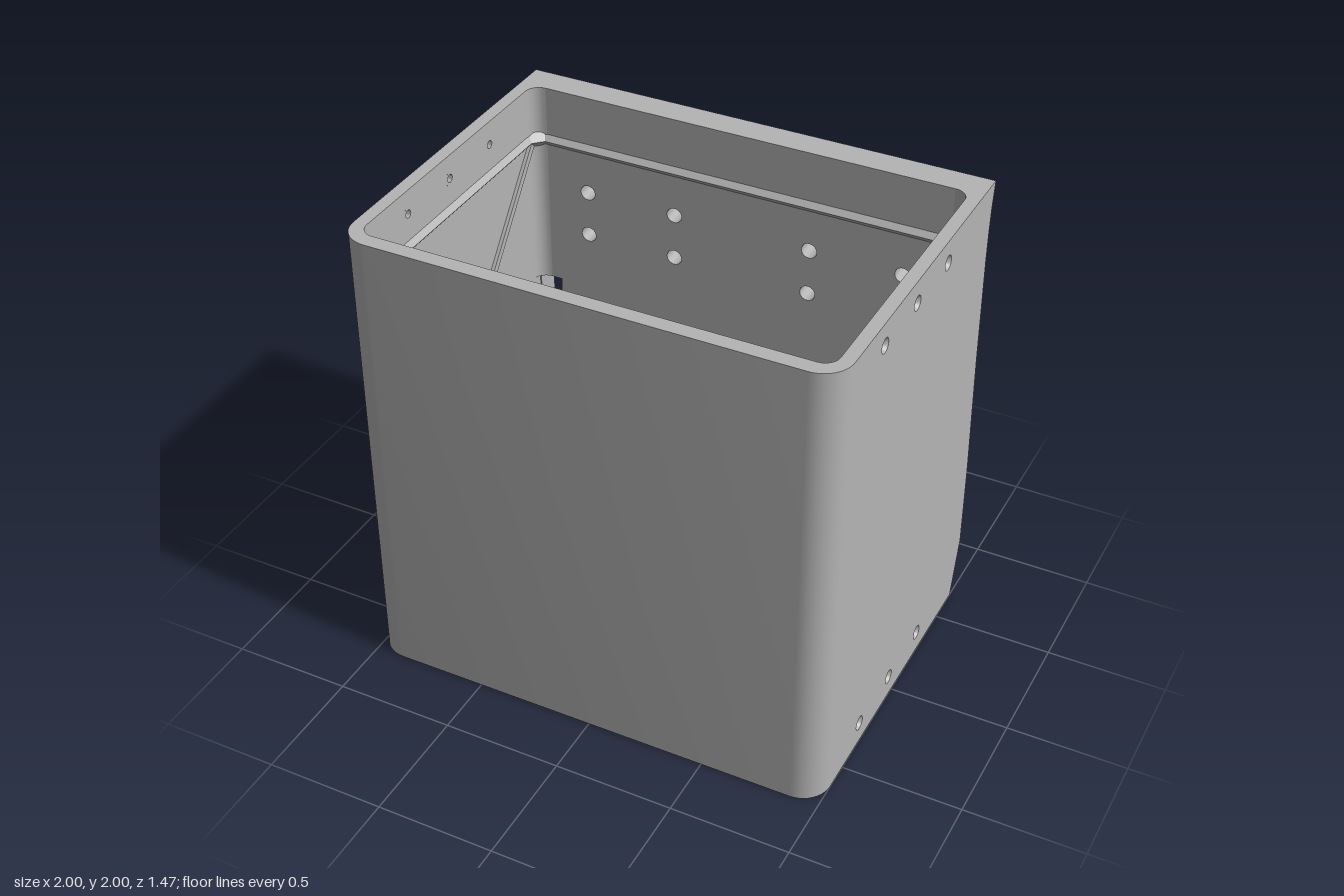
import * as THREE from 'three';
import { toCreasedNormals } from 'three/addons/utils/BufferGeometryUtils.js';

const body = new THREE.MeshStandardMaterial({ color: 0xb4b4b4, side: THREE.DoubleSide });
body.name = 'matte grey';

const IN_X = 0.945, IN_BACK = -0.61, IN_FRONT = 0.67;
// outer back surface as [y, z]
const PROFILE = [[0, -0.66], [0.25, -0.732], [0.62, -0.733], [1.2, -0.711], [1.66, -0.706],
  [1.8, -0.71], [1.88, -0.716], [1.94, -0.725], [2, -0.735]];

const toShape = pts => new THREE.Shape(pts.map(p => new THREE.Vector2(p[0], p[1])));
const extrude = (shape, depth) =>
  new THREE.ExtrudeGeometry(shape, { depth, bevelEnabled: false, curveSegments: 16 });

function circleHole(x, y, r) {
  const p = new THREE.Path();
  p.absarc(x, y, r, 0, Math.PI * 2, true);
  return p;
}

// Points of a circular arc, angles in quarter turns
function arc(cx, cy, r, a, b, n = 10) {
  return Array.from({ length: n + 1 }, (_, i) => {
    const t = (a + (b - a) * i / n) * Math.PI / 2;
    return [cx + r * Math.cos(t), cy + r * Math.sin(t)];
  });
}

// Upright prism from a plan outline in (x, z)
function upright(pts, y0, y1) {
  return extrude(toShape(pts), y1 - y0).rotateX(Math.PI / 2).translate(0, y1, 0);
}

// Triangular rib following the sides and back of the cavity
function ledgeRib(y) {
  const half = [ // [outer x, outer z, inner x, inner z]
    [0.9, 0.69, 0.875, 0.669], [0.955, 0.63, 0.925, 0.615],
    [0.955, -0.57, 0.925, -0.55], [0.9, -0.62, 0.885, -0.59]];
  const path = [...half, ...half.map(p => [-p[0], p[1], -p[2], p[3]]).reverse()];
  const pos = [];
  for (let i = 0; i < path.length - 1; i++) {
    const [a, b] = [path[i], path[i + 1]];
    for (const s of [1, -1]) {
      const A = [a[0], y + s * 0.035, a[1]], B = [b[0], y + s * 0.035, b[1]];
      const C = [b[2], y, b[3]], D = [a[2], y, a[3]];
      pos.push(...(s > 0 ? [A, B, C, A, C, D] : [A, C, B, A, D, C]).flat());
    }
  }
  const g = new THREE.BufferGeometry();
  g.setAttribute('position', new THREE.Float32BufferAttribute(pos, 3));
  g.computeVertexNormals();
  return g;
}

export function createModel() {
  const model = new THREE.Group();
  model.name = 'housing';
  const add = (name, geo, crease = 0.6) => {
    const mesh = new THREE.Mesh(toCreasedNormals(geo, crease), body);
    mesh.name = name;
    model.add(mesh);
    return mesh;
  };

  // Front wall with rounded outer corners
  add('frontWall', upright([
    ...arc(0.88, 0.615, 0.12, 0, 1), ...arc(-0.88, 0.615, 0.12, 1, 2),
    [-IN_X, 0.615], [-IN_X, IN_FRONT], [IN_X, IN_FRONT], [IN_X, 0.615]], 0, 2));

  // Side walls with countersunk screw holes
  const screws = [0.1, 1.9].flatMap(y => [0.34, 0.04, -0.26].map(z => [z, y]));
  for (const s of [1, -1]) {
    const side = toShape([[-0.615, 0], ...PROFILE.map(([y, z]) => [-z, y]), [-0.615, 2]]);
    screws.forEach(([z, y]) => side.holes.push(circleHole(-z, y, 0.031)));
    add('sideWall', extrude(side, 0.055).rotateY(Math.PI / 2).translate(s > 0 ? IN_X : -1, 0, 0), 0.2);
    for (const [z, y] of screws) {
      const sink = new THREE.LatheGeometry([[0.031, 0], [0.017, -0.022], [0.017, -0.055], [0.031, -0.055]]
        .map(p => new THREE.Vector2(...p)), 24);
      add('countersink', sink.rotateZ(-s * Math.PI / 2).translate(s, y, z));
    }
  }

  // Back wall in horizontal bands, pierced by mounting holes and slots
  const holes = [[0, 0.75, 0.1], [0.5, 0.85, 0.033], [-0.5, 0.85, 0.033]];
  for (const x of [-0.7, -0.3, 0.3, 0.7]) for (const y of [1.36, 1.56]) holes.push([x, y, 0.033]);
  for (let i = 0; i < PROFILE.length - 1; i++) {
    const [y0, z0] = PROFILE[i], [y1, z1] = PROFILE[i + 1];
    const band = toShape([[-IN_X, y0], [IN_X, y0], [IN_X, y1], [-IN_X, y1]]);
    holes.filter(h => h[1] > y0 && h[1] < y1).forEach(h => band.holes.push(circleHole(...h)));
    if (y0 < 1 && y1 > 1) {
      for (const s of [1, -1]) {
        band.holes.push(new THREE.Path([[0.84, 0.9], [0.84, 1.1], [0.94, 1.1], [0.94, 0.9]]
          .map(([x, y]) => new THREE.Vector2(s * x, y))));
      }
    }
    const g = extrude(band, 1), p = g.attributes.position;
    for (let k = 0; k < p.count; k++) {
      const outer = z0 + (z1 - z0) * (p.getY(k) - y0) / (y1 - y0);
      p.setZ(k, p.getZ(k) < 0.5 ? outer : IN_BACK);
    }
    add('backWall', g);
  }

  // Floor of the central counterbore
  const floor = new THREE.Shape().absarc(0, 0.75, 0.1, 0, Math.PI * 2, false);
  floor.holes.push(circleHole(0, 0.75, 0.033));
  add('counterboreFloor', extrude(floor, 0.05).translate(0, 0, IN_BACK - 0.05));

  // Rounded inner corners, interrupted at the back by the slots
  const r = 0.06;
  for (const s of [1, -1]) {
    const front = [[IN_X, IN_FRONT], ...arc(IN_X - r, IN_FRONT - r, r, 0, 1, 6)];
    const back = [[IN_X, IN_BACK], ...arc(IN_X - r, IN_BACK + r, r, 0, -1, 6)];
    const flip = pts => pts.map(([x, z]) => [s * x, z]);
    add('frontFillet', upright(flip(front), 0, 2));
    add('backFillet', upright(flip(back), 0, 0.9));
    add('backFillet', upright(flip(back), 1.1, 2));

    // Hooked rail standing on the inside of the front wall
    const hook = [[0.735, 0.675], [0.735, 0.59], ...arc(0.72, 0.525, 0.065, 1, 1.95, 6),
      [0.655, 0.53], [0.76, 0.53], [0.785, 0.537], [0.805, 0.555], [0.88, 0.66], [0.88, 0.675]];
    add('hookRail', upright(flip(hook), 0.2, 1.8));

    // Crossed thin ribs on the inside of the side wall
    for (const d of [1, -1]) {
      const rib = new THREE.BoxGeometry(0.015, 1.93, 0.03);
      rib.rotateX(d * Math.atan2(1.2, 1.5)).translate(s * (IN_X - 0.0075), 1, 0.03);
      add('crossRib', rib);
    }
  }

  // Ledge ribs near both openings
  add('lowerLedge', ledgeRib(0.235), 0.1);
  add('upperLedge', ledgeRib(1.765), 0.1);

  // Shallow V-shaped pad on the front wall, its ends sloping towards the wall
  const pad = upright([[-0.57, 0.672], [-0.57, 0.59], [0, 0.655], [0.57, 0.59], [0.57, 0.672]], 0.2, 1.8);
  const p = pad.attributes.position;
  for (let k = 0; k < p.count; k++) {
    const cut = (0.672 - p.getZ(k)) * 1.25;
    p.setY(k, p.getY(k) > 1 ? 1.8 - cut : 0.2 + cut);
  }
  pad.computeVertexNormals();
  add('vPad', pad, 0.1);

  return model;
}
